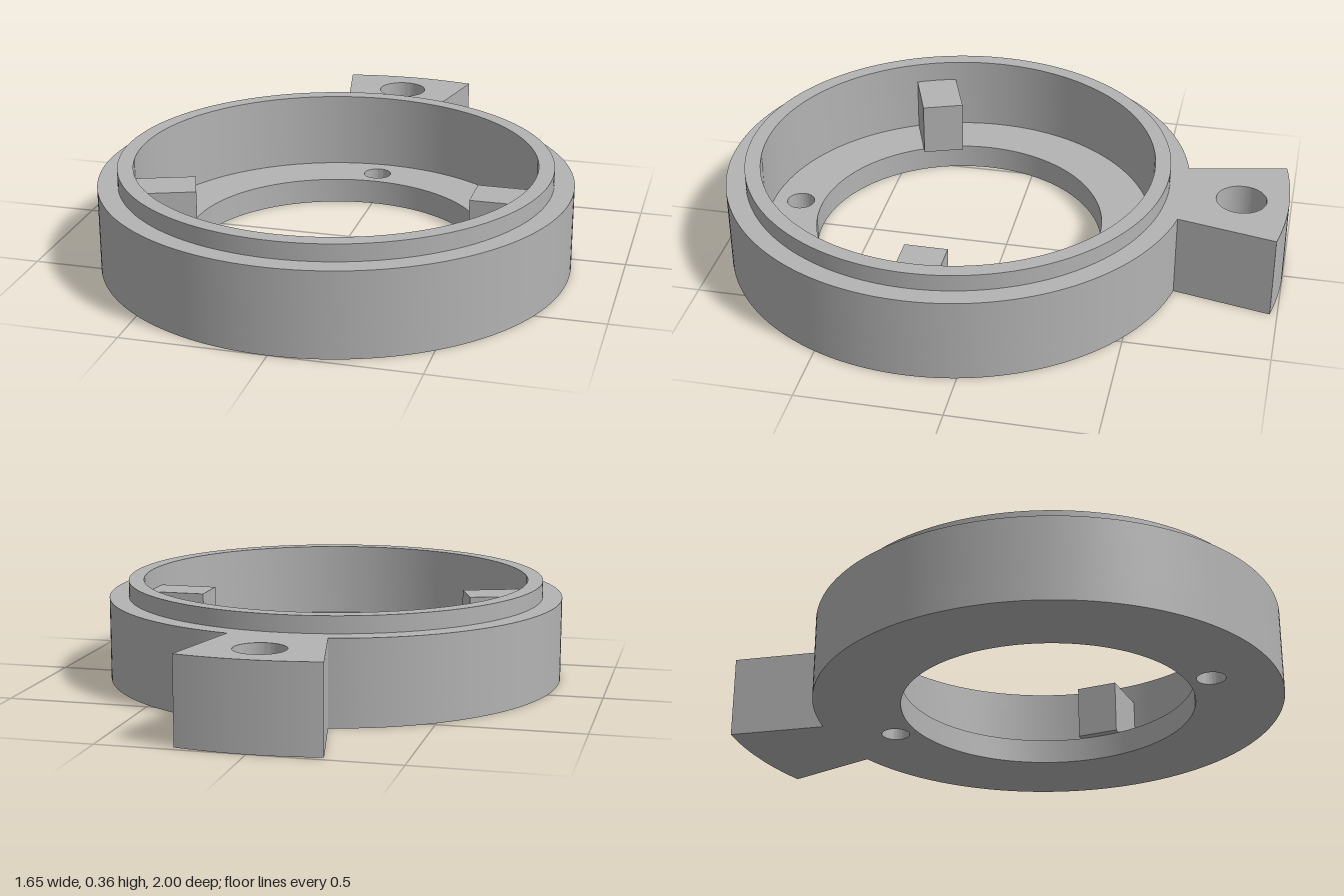
import * as THREE from 'three';
import { toCreasedNormals } from 'three/addons/utils/BufferGeometryUtils.js';

const OUTER = 0.825, INNER = 0.70, LIP = 0.755, BORE = 0.517;
const FLOOR = 0.09, TOP = 0.30, LIP_TOP = 0.36;
const TAB_END = 1.175, TAB_HALF = THREE.MathUtils.degToRad(11.9);

const circle = (r, y = 0) => new THREE.Path().absarc(0, y, r, 0, Math.PI * 2, true);

// Flat outline raised from height y0 to y1, sharp edges and smooth round walls
function slab(shape, y0, y1) {
  const g = new THREE.ExtrudeGeometry(shape, { depth: y1 - y0, bevelEnabled: false, curveSegments: 96 });
  g.rotateX(-Math.PI / 2);
  g.translate(0, y0, 0);
  return toCreasedNormals(g, 0.5);
}

function disc(r, holes) {
  const s = new THREE.Shape();
  s.absarc(0, 0, r, 0, Math.PI * 2, false);
  s.holes.push(...holes);
  return s;
}

// Radial wedge that starts on the ring wall and ends in a concentric arc
function tabShape() {
  const a = Math.PI / 2 - TAB_HALF, b = Math.PI / 2 + TAB_HALF;
  const s = new THREE.Shape();
  s.absarc(0, 0, TAB_END, a, b, false);
  s.absarc(0, 0, OUTER - 0.002, b, a, true);
  return s;
}

export function createModel() {
  const model = new THREE.Group();
  model.name = 'mountingRing';
  const grey = new THREE.MeshStandardMaterial({ color: 0xb3b3b3 });
  grey.name = 'plainGrey';

  const ring = new THREE.Group();
  ring.name = 'ring';
  ring.position.z = 0.175;
  model.add(ring);

  const add = (name, geometry) => {
    const mesh = new THREE.Mesh(geometry, grey);
    mesh.name = name;
    ring.add(mesh);
    return mesh;
  };

  // Base with central bore and two pin holes, then wall and raised lip
  add('floor', slab(disc(OUTER, [circle(BORE), circle(0.05, 0.6), circle(0.05, -0.6)]), 0, FLOOR));
  add('wall', slab(disc(OUTER, [circle(INNER)]), FLOOR, TOP));
  add('lip', slab(disc(LIP, [circle(INNER)]), TOP, LIP_TOP));

  // Rear tab with a blind hole from above
  add('tabBase', slab(tabShape(), 0, FLOOR));
  const drilled = tabShape();
  drilled.holes.push(circle(0.088, 1.01));
  add('tabTop', slab(drilled, FLOOR, TOP));

  // Locating blocks standing on the floor against the wall
  const inner = 0.487, outer = 0.71, height = 0.285 - FLOOR;
  [['leftBlock', 0], ['rightBlock', 200]].forEach(([name, degrees]) => {
    const g = new THREE.BoxGeometry(outer - inner, height, 0.15);
    g.translate((inner + outer) / 2, FLOOR + height / 2, 0);
    add(name, g).rotation.y = THREE.MathUtils.degToRad(degrees);
  });

  return model;
}
